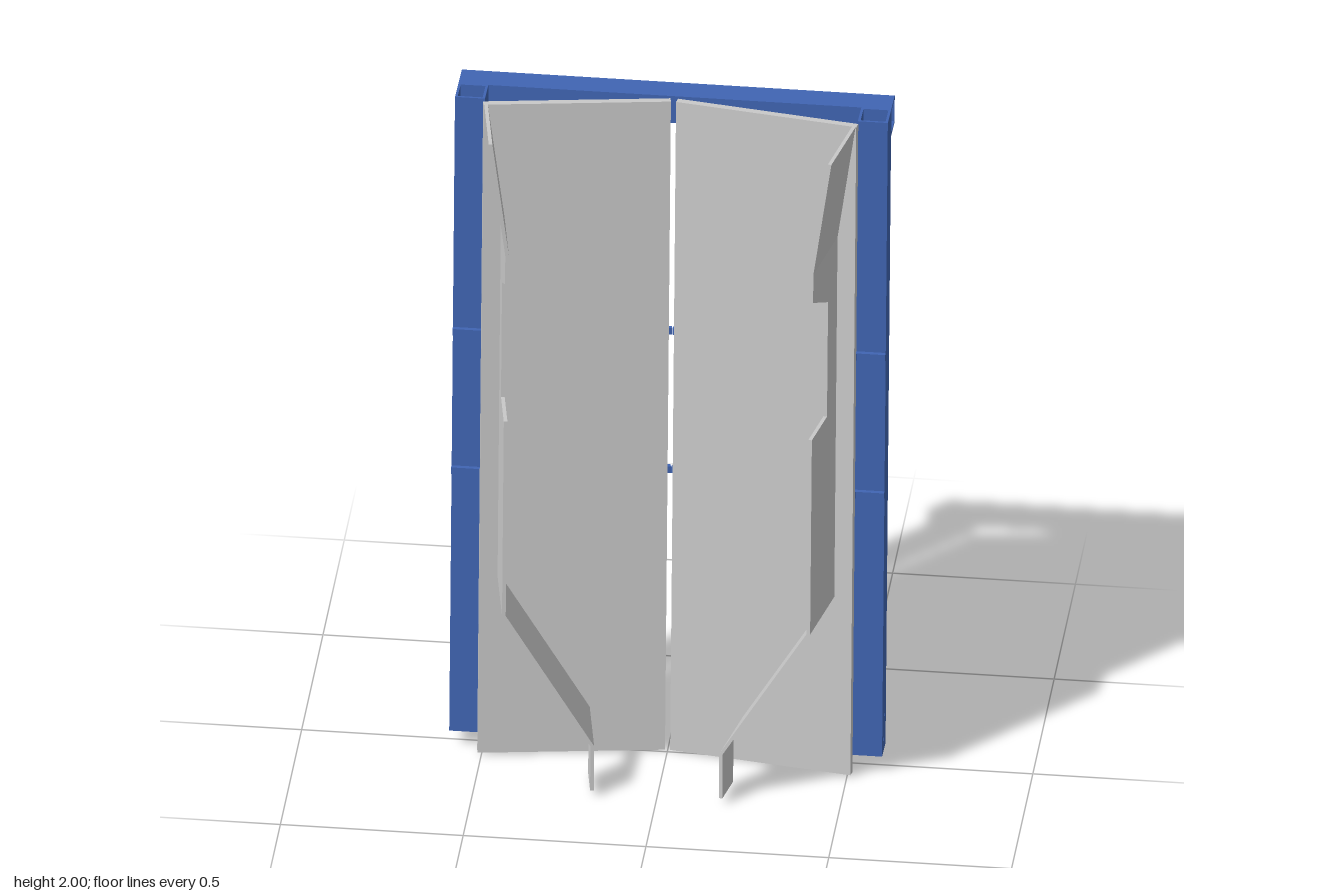
import * as THREE from 'three';

const grey = new THREE.MeshStandardMaterial({ color: 0xcccccc, flatShading: true });
const blue = new THREE.MeshStandardMaterial({ color: 0x4166b5, flatShading: true });

const TOP = 1.983, BOTTOM = 0.002;
const LEAN = THREE.MathUtils.degToRad(4);    // whole chute leans back
const FOLD = THREE.MathUtils.degToRad(9.6);  // each panel folds forward
const TUBE = 0.082, WALL = 0.007;

function add(parent, name, geometry, material) {
  const mesh = new THREE.Mesh(geometry, material);
  mesh.name = name;
  parent.add(mesh);
  return mesh;
}

// Box given by its minimum and maximum corners
function span(x0, x1, y0, y1, z0, z1) {
  return new THREE.BoxGeometry(x1 - x0, y1 - y0, z1 - z0)
    .translate((x0 + x1) / 2, (y0 + y1) / 2, (z0 + z1) / 2);
}

// Hollow square tube standing from y = 0, with optional bolt holes in its side walls
function squareTube(name, length, holes = []) {
  const tube = new THREE.Group();
  tube.name = name;
  const h = TUBE / 2;
  for (const s of [-1, 1]) {
    const z = s * (h - WALL / 2);
    add(tube, 'tubeWall', span(-h, h, 0, length, z - WALL / 2, z + WALL / 2), blue);
    const side = new THREE.Shape([[-h + WALL, 0], [h - WALL, 0], [h - WALL, length], [-h + WALL, length]]
      .map(p => new THREE.Vector2(...p)));
    for (const y of holes) {
      side.holes.push(new THREE.Path().absarc(0, y, 0.007, 0, Math.PI * 2, true));
    }
    const g = new THREE.ExtrudeGeometry(side, { depth: WALL, bevelEnabled: false, curveSegments: 8 });
    g.translate(0, 0, -WALL / 2).rotateY(-Math.PI / 2).translate(s * (h - WALL / 2), 0, 0);
    add(tube, 'tubeSideWall', g, blue);
  }
  return tube;
}

// Plate outlined by [height off panel, y], slanting from u0 at y0 to u1 at y1
function guidePlate(outline, y0, u0, y1, u1) {
  const shape = new THREE.Shape(outline.map(p => new THREE.Vector2(...p)));
  const g = new THREE.ExtrudeGeometry(shape, { depth: 0.01, bevelEnabled: false });
  g.rotateY(-Math.PI / 2);
  const pos = g.attributes.position;
  for (let i = 0; i < pos.count; i++) {
    const t = (pos.getY(i) - y0) / (y1 - y0);
    pos.setX(i, pos.getX(i) + u0 + (u1 - u0) * t);
  }
  g.computeVertexNormals();
  return g;
}

function createSide(name) {
  const side = new THREE.Group();
  side.name = name;

  // Folded half: panel, guide and the rods behind it
  const half = new THREE.Group();
  half.name = 'foldedHalf';
  half.position.set(0.007, 0, -0.008);
  half.rotation.y = -FOLD;
  side.add(half);
  add(half, 'panel', span(0, 0.51, BOTTOM, TOP, -0.02, 0), grey);

  // Guide flange: flared top, notched middle, funnel and hanging tab
  const H = 0.235, N = 0.088, uMid = 0.46, uLow = 0.216;
  const yFlare = 1.64, yFunnel = 0.54, yTab = 0.137;
  add(half, 'guideFlare', guidePlate(
    [[0, yFlare], [H, yFlare], [H, TOP], [0, TOP]], yFlare, uMid, TOP, 0.508), grey);
  add(half, 'guideMiddle', guidePlate(
    [[0, yFunnel], [H, yFunnel], [H, 1.134], [N, 1.134], [N, 1.484], [H, 1.554], [H, yFlare], [0, yFlare]],
    yFunnel, uMid, yFlare, uMid), grey);
  add(half, 'guideFunnel', guidePlate(
    [[0, yTab], [H, yTab], [H, yFunnel], [0, yFunnel]], yTab, uLow, yFunnel, uMid), grey);
  add(half, 'guideTab', guidePlate(
    [[0.13, BOTTOM], [H, BOTTOM], [H, yTab], [0.13, yTab]], BOTTOM, uLow, yTab, uLow), grey);

  // Cross rods, bent flat over the front of the rail
  for (const y of [0.847, 1.27]) {
    add(half, 'crossRod', span(-0.01, 0.51, y - 0.01, y + 0.01, -0.034, -0.02), blue);
    add(side, 'crossRodEnd', span(0.505, 0.592, y - 0.01, y + 0.01, 0.04, 0.054), blue);
  }

  const rail = squareTube('rail', TOP - 0.046, [0.035, 0.107]);
  rail.position.set(0.551, 0.046, 0);
  side.add(rail);
  return side;
}

export function createModel() {
  const model = new THREE.Group();
  model.name = 'guideChute';
  const chute = new THREE.Group();
  chute.name = 'leaningChute';
  chute.rotation.x = -LEAN;
  model.add(chute);

  const left = createSide('leftSide');
  const right = createSide('rightSide');
  right.scale.x = -1;
  chute.add(left, right);

  // Open-ended beam across the back of both rails
  const beam = squareTube('topBeam', 1.184);
  beam.rotation.z = -Math.PI / 2;
  beam.position.set(-0.592, TOP - TUBE / 2, -TUBE);
  chute.add(beam);

  return model;
}
